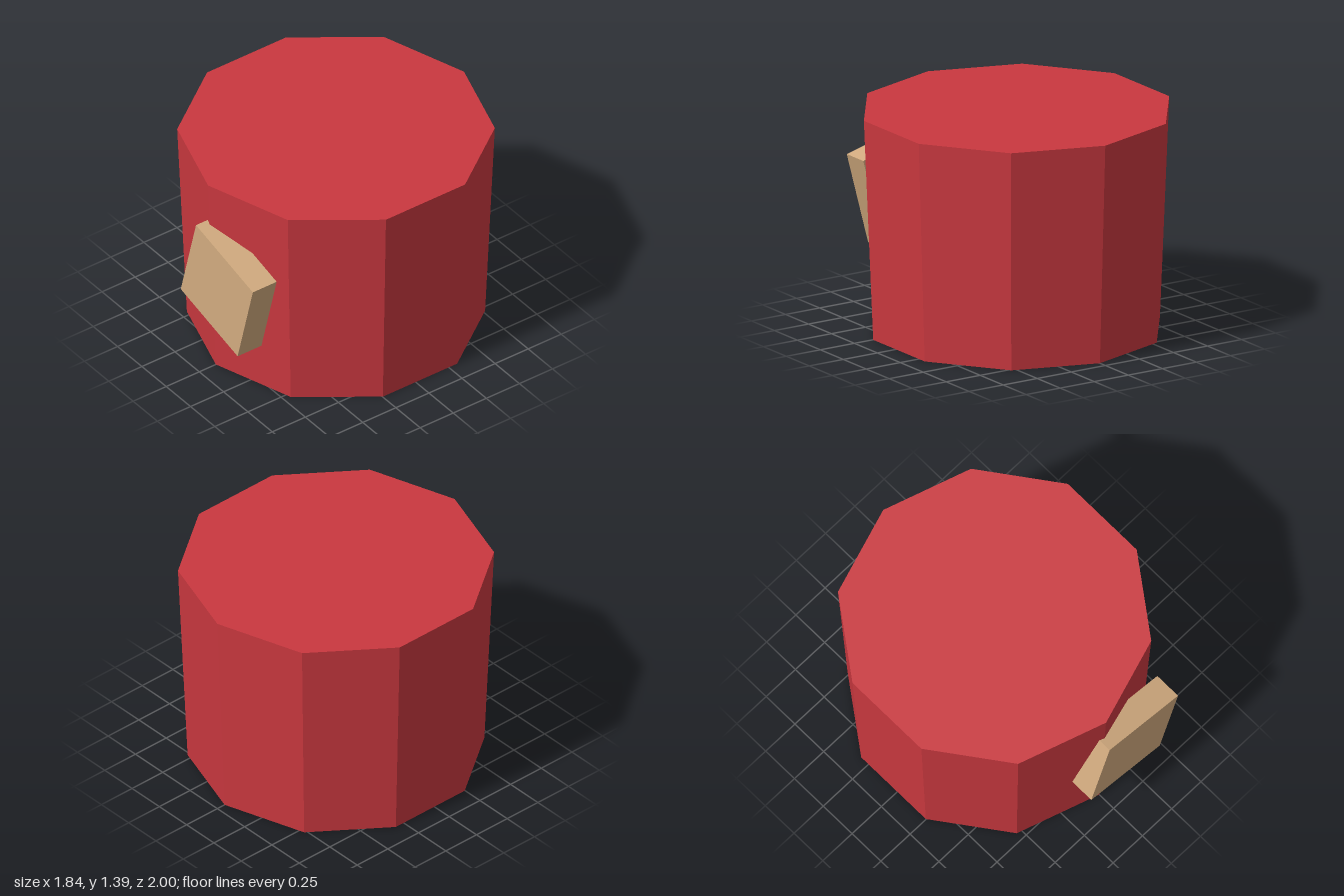
import * as THREE from 'three';

export function createModel() {
  const red = new THREE.MeshStandardMaterial({ color: 0xca383f, flatShading: true });
  red.name = 'red';
  const tan = new THREE.MeshStandardMaterial({ color: 0xd2ab7f, flatShading: true });
  tan.name = 'tan';

  const group = new THREE.Group();
  group.name = 'labelledTub';

  // Ten-sided body, slightly wider at the top
  const height = 1.395;
  const body = new THREE.Mesh(new THREE.CylinderGeometry(0.967, 0.908, height, 10), red);
  body.name = 'body';
  body.position.set(0, height / 2, -0.033);
  group.add(body);

  // Tilted square label block on the front
  const label = new THREE.Mesh(new THREE.BoxGeometry(0.605, 0.605, 0.18), tan);
  label.name = 'label';
  label.position.set(0.18, 0.73, 0.91);
  label.rotation.z = -Math.PI / 12;
  group.add(label);

  return group;
}
